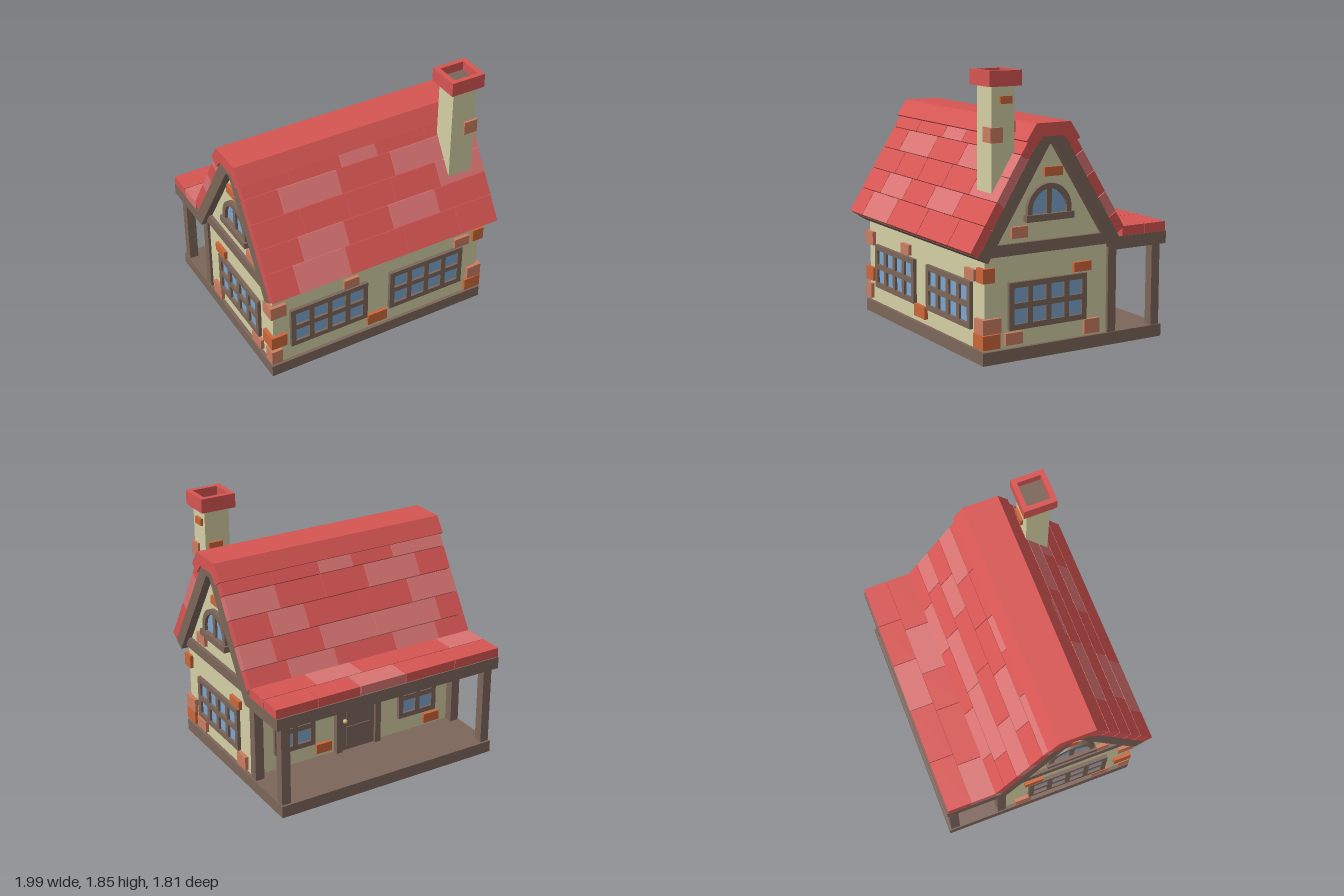
import * as THREE from 'three';

const mat = (name, color) => {
  const m = new THREE.MeshStandardMaterial({ color });
  m.name = name;
  return m;
};

export function createModel() {
  const wallMat = mat('plaster', 0xd3cfa4), wood = mat('wood', 0x7d665a);
  const red = mat('red tile', 0xd65552), pink = mat('light red tile', 0xd97472);
  const glassMat = mat('glass', 0x7ba6cf), gold = mat('brass', 0xcdb070);
  const orange = mat('orange brick', 0xcc6639), pale = mat('pale brick', 0xcb7d61);

  const root = new THREE.Group();
  root.name = 'cottage';
  const house = new THREE.Group();
  house.name = 'house';
  house.rotation.y = -0.184;
  root.add(house);

  const add = (parent, name, geo, m, x = 0, y = 0, z = 0) => {
    const mesh = new THREE.Mesh(geo, m);
    mesh.name = name;
    mesh.position.set(x, y, z);
    parent.add(mesh);
    return mesh;
  };
  const box = (parent, name, m, w, h, d, x, y, z) =>
    add(parent, name, new THREE.BoxGeometry(w, h, d), m, x, y, z);
  const poly = (pts) => new THREE.Shape(pts.map(p => new THREE.Vector2(...p)));
  const rect = (x0, y0, x1, y1) => [[x0, y0], [x1, y0], [x1, y1], [x0, y1]];
  const extrude = (shape, depth) =>
    new THREE.ExtrudeGeometry(shape, { depth, bevelEnabled: false, curveSegments: 16 });

  const RZ = 0.157;       // z of the ridge
  const WX = 0.815;       // half length of the walls
  const SLOPE = Math.atan(1.6), C = Math.cos(SLOPE), S = Math.sin(SLOPE);
  // Extrudes a (distance from ridge, y) profile along the house
  const along = (name, m, pts, half) => {
    const mesh = add(house, name, extrude(poly(pts), half * 2), m, half, 0, RZ);
    mesh.rotation.y = -Math.PI / 2;
    return mesh;
  };

  // Base, walls, roof deck and ridge
  box(house, 'base', wood, 1.68, 0.085, 1.4, 0, 0.0425, -0.052);
  along('walls', wallMat, [[-0.467, 0.08], [0.467, 0.08], [0.467, 0.69], [0.02, 1.4], [-0.02, 1.4], [-0.467, 0.69]], WX);
  along('roofDeck', wood, [
    [0.544, 0.708], [0.0865, 1.44], [-0.0865, 1.44], [-0.527, 0.735], [-0.914, 0.735],
    [-0.914, 0.65], [-0.483, 0.65], [-0.02, 1.385], [0.02, 1.385], [0.474, 0.664]].reverse(), 0.872);
  along('ridgeCap', red, [
    [0.127, 1.522], [-0.127, 1.522], [-0.2, 1.415], [-0.135, 1.37],
    [-0.08, 1.435], [0.08, 1.435], [0.135, 1.37], [0.2, 1.415]], 0.885);

  // Roof tiles: each row has joints along x and a list of pale tiles
  const TX = 0.874, GAP = 0.005;
  const tileRow = (parent, joints, light, len, y, z) => {
    const xs = [-TX, ...joints, TX];
    for (let i = 0; i < xs.length - 1; i++)
      box(parent, 'roofTile', light.includes(i) ? pink : red,
        xs[i + 1] - xs[i] - GAP, 0.065, len - GAP, (xs[i] + xs[i + 1]) / 2, y, z);
  };
  const steps = [0, 0.192, 0.357, 0.528, 0.693, 0.83];
  const slopeRows = [
    [[-0.672, -0.286, 0.155, 0.574], [1]],
    [[-0.584, -0.247, 0.096, 0.46], [1, 3]],
    [[-0.524, -0.187, 0.161, 0.52], [4]],
    [[-0.63, -0.2, 0.21], [1, 3]],
    [[-0.533, -0.154, 0.118, 0.5], [2]]];
  const backRows = [
    [[-0.62, -0.27, 0.2, 0.56], [1, 3]],
    [[-0.68, -0.16, 0.26, 0.63], [1, 2, 4]],
    [[-0.5, -0.1, 0.33, 0.6], [0, 3]],
    [[-0.62, -0.2, 0.15, 0.5], [1, 4]],
    [[-0.45, -0.12, 0.14, 0.5], [0, 2]]];
  for (const side of [1, -1]) {
    const pitch = new THREE.Group();
    pitch.name = side > 0 ? 'frontRoofTiles' : 'backRoofTiles';
    pitch.position.set(0, 0.708, RZ + side * 0.544);
    pitch.rotation.x = side * SLOPE;
    house.add(pitch);
    (side > 0 ? slopeRows : backRows).forEach(([joints, light], i) => {
      const s0 = side < 0 && i === 0 ? 0.06 : steps[i], s1 = steps[i + 1];
      tileRow(pitch, joints, light, s1 - s0, 0.0325, -side * (s0 + s1) / 2);
    });
  }
  const porchTiles = new THREE.Group();
  porchTiles.name = 'porchTiles';
  house.add(porchTiles);
  tileRow(porchTiles, [-0.507, -0.11, 0.243, 0.56], [2], 0.172, 0.768, -0.665);
  tileRow(porchTiles, [-0.59, -0.17, 0.117, 0.47], [0, 3], 0.185, 0.768, -0.487);

  // Porch posts
  for (const x of [-0.8, 0.8]) for (const z of [-0.345, -0.704])
    box(house, 'porchPost', wood, 0.065, 0.58, 0.065, x, 0.37, z);

  // Wall faces: local x runs along the wall, z points outwards
  const face = (name, x, z, turn) => {
    const g = new THREE.Group();
    g.name = name;
    g.position.set(x, 0, z);
    g.rotation.y = turn;
    house.add(g);
    return g;
  };
  const front = face('frontWall', 0, 0.624, 0);
  const back = face('backWall', 0, -0.31, Math.PI);
  const right = face('gableA', WX, RZ, Math.PI / 2);
  const left = face('gableB', -WX, RZ, -Math.PI / 2);

  // Window with a grid of panes cut in one frame
  const addWindow = (parent, x, cols, y0 = 0.203) => {
    const bar = 0.037, pw = 0.102, ph = 0.1, rows = 2;
    const w = cols * (pw + bar) + bar, h = rows * (ph + bar) + bar;
    const shape = poly(rect(-w / 2, 0, w / 2, h));
    for (let i = 0; i < cols; i++) for (let j = 0; j < rows; j++) {
      const px = -w / 2 + bar + i * (pw + bar), py = bar + j * (ph + bar);
      shape.holes.push(poly(rect(px, py, px + pw, py + ph)));
    }
    add(parent, 'windowFrame', extrude(shape, 0.025), wood, x, y0, 0);
    box(parent, 'windowGlass', glassMat, w - 0.02, h - 0.02, 0.008, x, y0 + h / 2, 0.004);
  };
  addWindow(front, -0.394, 4);
  addWindow(front, 0.376, 4);
  addWindow(right, 0, 4);
  addWindow(left, 0, 4);
  addWindow(back, -0.5, 2);
  addWindow(back, 0.5, 2);

  // Gable beam and arched window
  const arch = (r, y0, spring) => {
    const s = new THREE.Shape();
    s.moveTo(-r, y0);
    s.lineTo(r, y0);
    s.lineTo(r, spring);
    s.absarc(0, spring, r, 0, Math.PI, false);
    s.closePath();
    return s;
  };
  for (const g of [right, left]) {
    box(g, 'gableBeam', wood, 0.92, 0.075, 0.05, 0, 0.7275, 0);
    const frame = arch(0.166, 0.925, 0.965);
    frame.holes.push(arch(0.13, 0.937, 0.965));
    add(g, 'archFrame', extrude(frame, 0.03), wood);
    add(g, 'archGlass', extrude(arch(0.14, 0.93, 0.965), 0.008), glassMat);
    box(g, 'archMullion', wood, 0.035, 0.17, 0.024, 0, 1.015, 0.012);
    box(g, 'archSill', wood, 0.36, 0.044, 0.05, 0, 0.915, 0.02);
  }

  // Door
  const doorFrame = poly(rect(-0.18, 0.08, 0.18, 0.565));
  doorFrame.holes.push(poly(rect(-0.135, 0.085, 0.135, 0.52)));
  add(back, 'doorFrame', extrude(doorFrame, 0.04), wood);
  box(back, 'door', wood, 0.28, 0.44, 0.02, 0, 0.302, 0.01);
  for (const [y, h] of [[0.19, 0.15], [0.4, 0.17]])
    box(back, 'doorPanel', wood, 0.19, h, 0.016, 0, y, 0.02);
  add(back, 'doorKnob', new THREE.SphereGeometry(0.017, 12, 8), gold, -0.112, 0.32, 0.038);

  // Bricks: x0, x1, y0, y1, colour
  const bricks = (parent, list) => list.forEach(([x0, x1, y0, y1, m]) =>
    box(parent, 'brick', m, x1 - x0, y1 - y0, 0.05, (x0 + x1) / 2, (y0 + y1) / 2, 0));
  bricks(front, [
    [-0.84, -0.723, 0.5, 0.596, pale], [-0.84, -0.723, 0.238, 0.334, orange], [-0.84, -0.76, 0.104, 0.211, pale],
    [-0.283, -0.166, 0.527, 0.6, pale], [-0.092, 0.06, 0.126, 0.211, orange], [0.604, 0.723, 0.527, 0.6, pale],
    [0.755, 0.84, 0.53, 0.624, orange], [0.73, 0.84, 0.2, 0.293, pale], [0.712, 0.84, 0.1, 0.192, orange]]);
  const gableBricks = [
    [0.196, 0.33, 0.527, 0.59, orange], [0.28, 0.4, 0.1, 0.199, pale], [-0.325, -0.195, 0.11, 0.189, pale],
    [-0.28, -0.16, 0.797, 0.87, pale], [-0.035, 0.1, 1.174, 1.233, orange]];
  bricks(right, [...gableBricks, [-0.492, -0.405, 0.53, 0.624, orange],
    [-0.492, -0.355, 0.2, 0.297, pale], [-0.492, -0.365, 0.1, 0.194, orange]]);
  bricks(left, [...gableBricks.map(([a, b, ...r]) => [-b, -a, ...r]), [0.375, 0.492, 0.5, 0.596, pale],
    [0.365, 0.492, 0.238, 0.334, orange], [0.405, 0.492, 0.104, 0.211, pale]]);
  bricks(back, [
    [-0.33, -0.21, 0.54, 0.605, orange], [0.24, 0.36, 0.54, 0.605, orange],
    [-0.33, -0.21, 0.12, 0.19, orange], [0.56, 0.69, 0.11, 0.18, orange]]);

  // Chimney with open cap
  const chimney = new THREE.Group();
  chimney.name = 'chimney';
  chimney.position.set(0.68, 0, 0.46);
  house.add(chimney);
  box(chimney, 'stack', wallMat, 0.18, 0.75, 0.165, 0, 1.405, 0);
  const capShape = poly(rect(-0.125, -0.117, 0.125, 0.117));
  capShape.holes.push(poly(rect(-0.09, -0.083, 0.09, 0.083)));
  add(chimney, 'chimneyCap', extrude(capShape, 0.098), red, 0, 1.754, 0).rotation.x = -Math.PI / 2;
  box(chimney, 'flue', wood, 0.2, 0.02, 0.18, 0, 1.78, 0);
  box(chimney, 'chimneyBrick', pale, 0.1, 0.095, 0.09, 0.055, 1.45, 0.053);
  box(chimney, 'chimneyBrick', orange, 0.04, 0.048, 0.085, 0.088, 1.668, -0.015);
  box(chimney, 'chimneyBrick', orange, 0.1, 0.07, 0.04, 0.02, 1.495, -0.082);

  return root;
}
